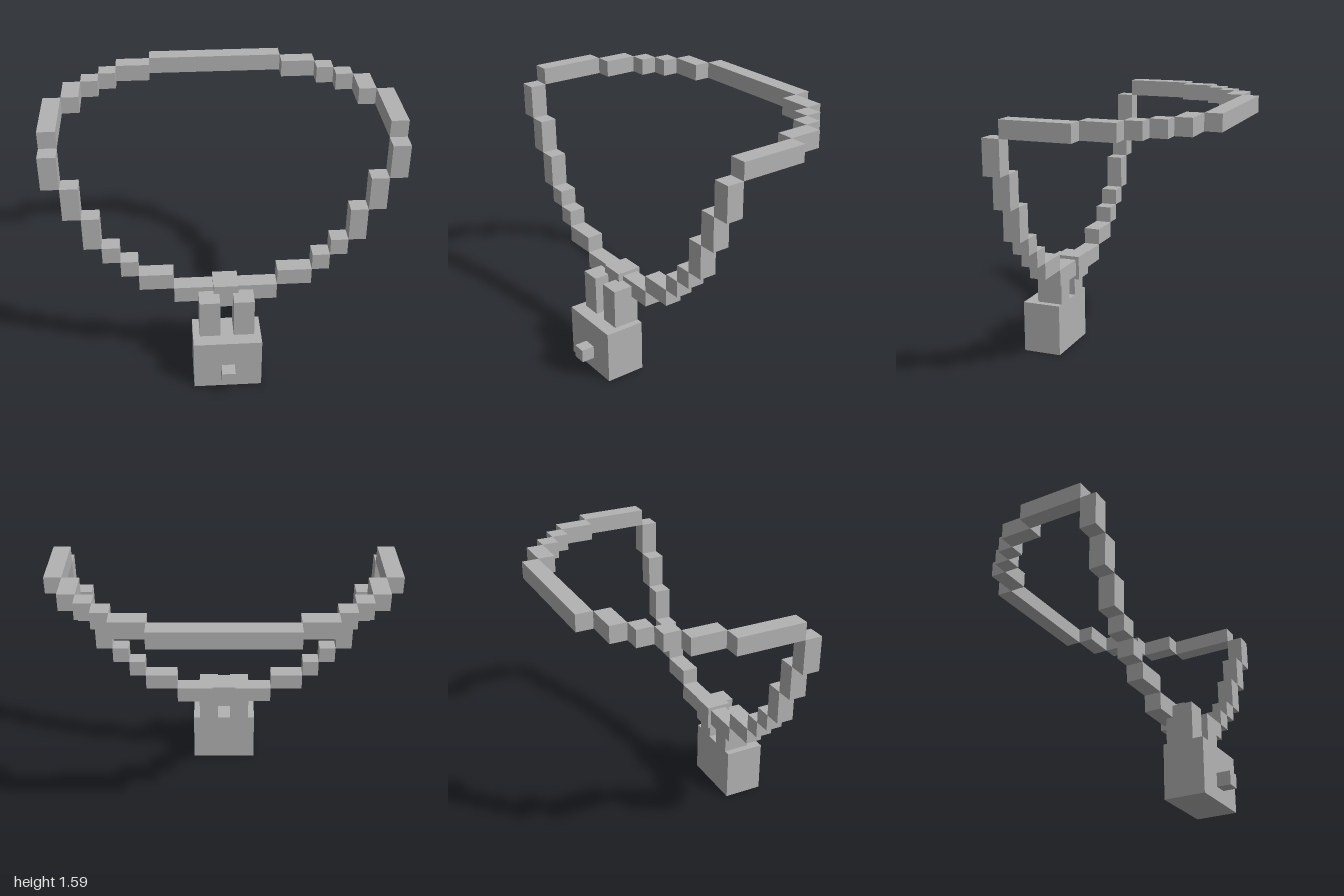
import * as THREE from 'three';

export function createModel() {
  const model = new THREE.Group();
  const metal = new THREE.MeshStandardMaterial({ color: 0xb2b2b2 });
  metal.name = 'grey metal';

  // Box given by its lower and upper limits on each axis
  function box(name, [x0, x1], [y0, y1], [z0, z1], parent = model) {
    const mesh = new THREE.Mesh(new THREE.BoxGeometry(x1 - x0, y1 - y0, z1 - z0), metal);
    mesh.position.set((x0 + x1) / 2, (y0 + y1) / 2, (z0 + z1) / 2);
    mesh.name = name;
    parent.add(mesh);
  }

  // Hanging front of the chain: x range, y range, mirrored
  const front = new THREE.Group();
  front.name = 'frontChain';
  const frontZ = [0.31, 0.41];
  box('bottomLink', [-0.3, 0.3], [0.49, 0.59], frontZ, front);
  const frontLinks = [
    [0.3, 0.5, 0.59, 0.69], [0.5, 0.6, 0.69, 0.79], [0.6, 0.7, 0.79, 0.89],
    [0.7, 0.8, 0.89, 1.09], [0.8, 0.9, 1.09, 1.29], [0.9, 1.0, 1.29, 1.49],
  ];
  for (const [x0, x1, y0, y1] of frontLinks) {
    box('leftFrontLink', [x0, x1], [y0, y1], frontZ, front);
    box('rightFrontLink', [-x1, -x0], [y0, y1], frontZ, front);
  }

  // Level neck loop: x range, z range, mirrored
  const neck = new THREE.Group();
  neck.name = 'neckChain';
  const neckY = [1.49, 1.59];
  box('backLink', [-0.4, 0.4], neckY, [-0.69, -0.59], neck);
  const neckLinks = [
    [0.4, 0.6, -0.59, -0.49], [0.6, 0.7, -0.49, -0.39], [0.7, 0.8, -0.39, -0.29],
    [0.8, 0.9, -0.29, -0.09], [0.9, 1.0, -0.09, 0.31],
  ];
  for (const [x0, x1, z0, z1] of neckLinks) {
    box('leftNeckLink', [x0, x1], neckY, [z0, z1], neck);
    box('rightNeckLink', [-x1, -x0], neckY, [z0, z1], neck);
  }

  // Pendant padlock
  const lock = new THREE.Group();
  lock.name = 'padlock';
  box('lockBody', [-0.2, 0.2], [0, 0.32], [0.37, 0.61], lock);
  box('keyKnob', [-0.04, 0.04], [0.08, 0.16], [0.61, 0.69], lock);
  box('leftShackle', [0.04, 0.16], [0.32, 0.56], [0.37, 0.53], lock);
  box('rightShackle', [-0.16, -0.04], [0.32, 0.56], [0.37, 0.53], lock);
  box('hangerBlock', [-0.073, 0.073], [0.465, 0.61], [0.29, 0.44], lock);

  model.add(front, neck, lock);
  return model;
}
